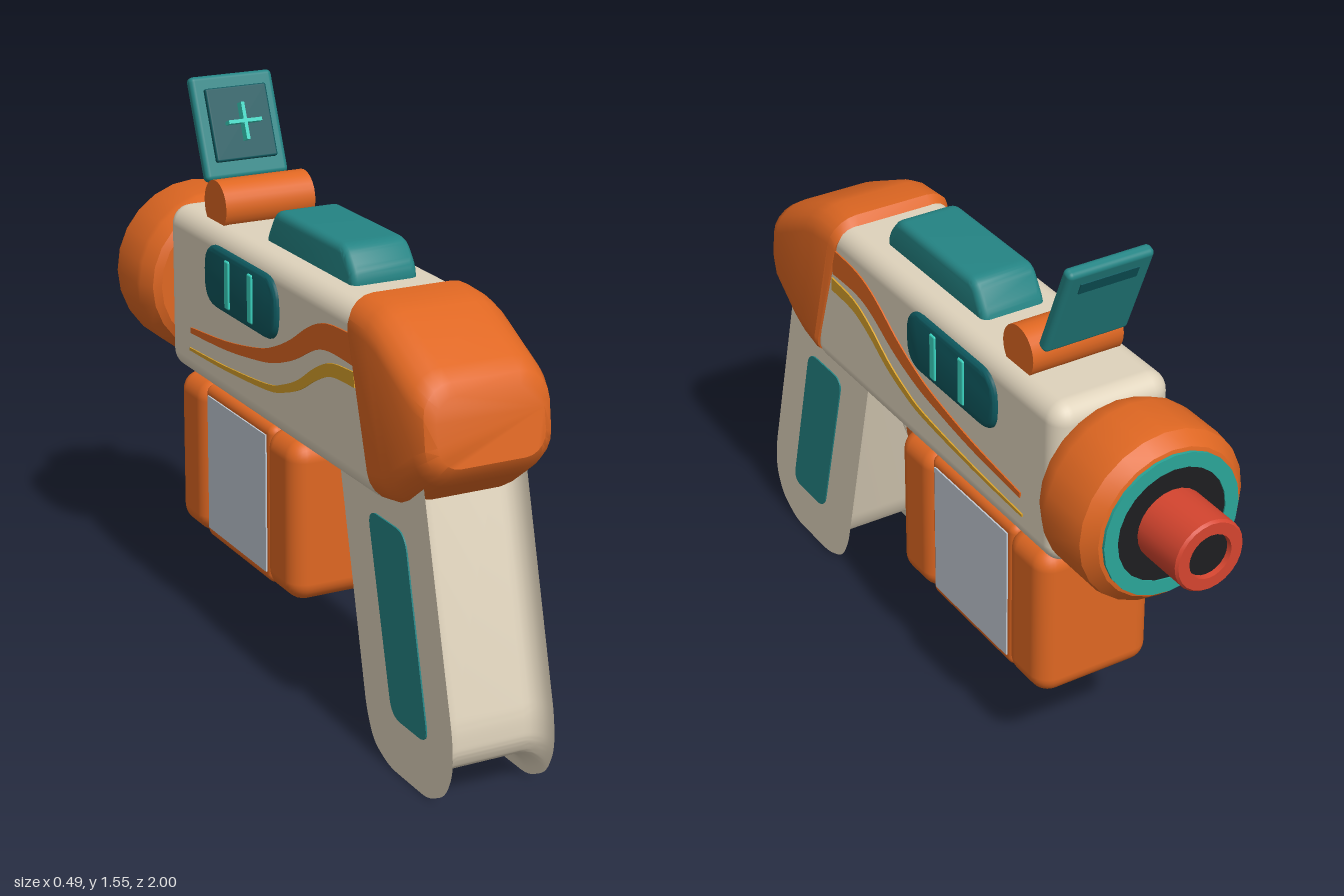
import * as THREE from 'three';
import { toCreasedNormals } from 'three/addons/utils/BufferGeometryUtils.js';
import { RoundedBoxGeometry } from 'three/addons/geometries/RoundedBoxGeometry.js';

const mat = (name, color) => {
  const m = new THREE.MeshStandardMaterial({ color });
  m.name = name;
  return m;
};

// closed shape from [z, y] points with corners rounded by r
function sideShape(pts, r = 0) {
  const p = pts.map(([z, y]) => new THREE.Vector2(-z, y));
  const s = new THREE.Shape();
  p.forEach((c, i) => {
    const a = p[(i + p.length - 1) % p.length], b = p[(i + 1) % p.length];
    const toward = (q) => c.clone().add(q.clone().sub(c).setLength(Math.min(r, q.distanceTo(c) * 0.49)));
    const s0 = toward(a), s1 = toward(b);
    if (i === 0) s.moveTo(s0.x, s0.y); else s.lineTo(s0.x, s0.y);
    if (r > 0) s.quadraticCurveTo(c.x, c.y, s1.x, s1.y);
  });
  s.closePath();
  return s;
}

// side profile extruded across x, total width w, bevel included
function across(shape, w, thick = 0, size = thick) {
  const g = new THREE.ExtrudeGeometry(shape, {
    depth: w - 2 * thick, curveSegments: 6, bevelEnabled: thick > 0,
    bevelThickness: thick, bevelSize: size, bevelOffset: size > 0 ? -size : 0, bevelSegments: 5,
  });
  g.translate(0, 0, -(w - 2 * thick) / 2);
  g.rotateY(Math.PI / 2);
  return toCreasedNormals(g, 0.6);
}

// tapering ribbon following [z, y, halfWidth] points
function ribbon(pts) {
  const curve = new THREE.SplineCurve(pts.map((p) => new THREE.Vector2(p[0], p[1])));
  const top = [], bottom = [], n = 28;
  for (let i = 0; i <= n; i++) {
    const t = i / n, p = curve.getPoint(t), d = curve.getTangent(t);
    const h = THREE.MathUtils.lerp(pts[0][2], pts[pts.length - 1][2], t);
    top.push([p.x - d.y * h, p.y + d.x * h]);
    bottom.unshift([p.x + d.y * h, p.y - d.x * h]);
  }
  return sideShape([...top, ...bottom]);
}

// loft of rounded-rectangle rings; each ring: [zBottom, yBottom, zTop, yTop, halfWidth, radius]
function loft(rings) {
  const pos = [], idx = [], k = 5, n = 4 * (k + 1);
  for (const [zb, yb, zt, yt, w, r] of rings) {
    const h = Math.hypot(zt - zb, yt - yb) / 2;
    for (let q = 0; q < 4; q++) for (let i = 0; i <= k; i++) {
      const a = (q + i / k) * Math.PI / 2;
      const cx = q === 0 || q === 3 ? w - r : r - w, cy = q < 2 ? h - r : r - h;
      const t = (cy + r * Math.sin(a) + h) / (2 * h);
      pos.push(cx + r * Math.cos(a), yb + (yt - yb) * t, zb + (zt - zb) * t);
    }
  }
  for (let j = 0; j < rings.length - 1; j++) for (let i = 0; i < n; i++) {
    const a = j * n + i, b = j * n + (i + 1) % n;
    idx.push(a, b, b + n, a, b + n, a + n);
  }
  const e = (rings.length - 1) * n;
  for (let i = 1; i < n - 1; i++) idx.push(0, i + 1, i, e, e + i, e + i + 1);
  const g = new THREE.BufferGeometry();
  g.setAttribute('position', new THREE.Float32BufferAttribute(pos, 3));
  g.setIndex(idx);
  return toCreasedNormals(g, 0.6);
}

export function createModel() {
  const root = new THREE.Group();
  root.name = 'toyBlaster';
  const cream = mat('cream', 0xdfd3bc), orange = mat('orange', 0xdf6722), teal = mat('teal', 0x248484);
  const darkTeal = mat('darkTeal', 0x0e585e), aqua = mat('aqua', 0x3ad6c2), ringTeal = mat('ringTeal', 0x2aa598);
  const red = mat('red', 0xd5452f), black = mat('black', 0x1e1e20), grey = mat('grey', 0xc2cad4);
  const yellow = mat('yellow', 0xd9a22b);
  const add = (name, geo, m, x = 0, y = 0, z = 0, parent = root) => {
    const mesh = new THREE.Mesh(geo, m);
    mesh.name = name;
    mesh.position.set(x, y, z);
    parent.add(mesh);
    return mesh;
  };
  const box = (w, h, d, r) => new RoundedBoxGeometry(w, h, d, 4, r);

  // body and rear cap
  add('body', box(0.35, 0.475, 1.26, 0.055), cream, 0, 0.95, 0.04);
  add('rearCap', loft([
    [0.65, 0.715, 0.49, 1.185, 0.182, 0.07], [0.655, 0.715, 0.51, 1.212, 0.19, 0.08],
    [0.73, 0.725, 0.6, 1.212, 0.19, 0.09], [0.77, 0.745, 0.65, 1.197, 0.19, 0.09],
    [0.87, 0.82, 0.83, 1.112, 0.188, 0.09], [0.905, 0.85, 0.872, 1.085, 0.175, 0.08],
    [0.92, 0.88, 0.89, 1.055, 0.15, 0.06],
  ]), orange);

  // grip with full side plates and a coved, narrower core
  const grip = [[0.82, 0.88], [0.37, 0.88], [0.41, 0.71], [0.585, 0], [0.975, 0], [1.02, 0.1]];
  grip.splice(3, 3, [0.555, 0.11], [0.595, 0.035], [0.68, 0], [0.88, 0], [0.965, 0.045], [1, 0.12], [0.995, 0.21]);
  add('grip', across(sideShape(grip, 0.035), 0.29, 0.05, -0.062), cream);

  // trigger and guard
  add('trigger', across(sideShape([[0.42, 0.74], [0.29, 0.74], [0.31, 0.53], [0.375, 0.53]], 0.03), 0.09, 0.015), orange);
  const guard = new THREE.CatmullRomCurve3([[0.47, 0.62], [0.43, 0.55], [0.37, 0.51], [0.31, 0.495],
    [0.25, 0.51], [0.19, 0.55], [0.16, 0.6]].map(([z, y]) => new THREE.Vector3(0, y, z)));
  add('triggerGuard', new THREE.TubeGeometry(guard, 24, 0.022, 10), cream);

  // magazine
  add('magazineRear', box(0.35, 0.455, 0.185, 0.055), orange, 0, 0.488, 0.107);
  add('magazineFront', box(0.35, 0.455, 0.185, 0.055), orange, 0, 0.488, -0.443);
  add('magazineCore', box(0.325, 0.455, 0.42, 0.025), orange, 0, 0.488, -0.168);

  // details repeated on both sides
  const pill = sideShape([[0.12, 0.972], [-0.32, 0.972], [-0.32, 1.147], [0.12, 1.147]], 0.075);
  const panel = sideShape([[0.75, 0.665], [0.56, 0.665], [0.695, 0.15], [0.88, 0.15]], 0.045);
  const orangeLine = ribbon([[0.53, 1.078, 0.04], [0.4, 1.073], [0.31, 1.045], [0.2, 0.983], [0.1, 0.94],
    [0, 0.912], [-0.2, 0.878], [-0.43, 0.857, 0.008]]);
  const yellowLine = ribbon([[0.54, 1.003, 0.02], [0.42, 0.993], [0.33, 0.955], [0.24, 0.9], [0.15, 0.862],
    [0.05, 0.836], [-0.2, 0.812], [-0.44, 0.8, 0.004]]);
  for (const s of [1, -1]) {
    const side = s > 0 ? 'left' : 'right';
    add(side + 'GripPanel', across(panel, 0.008), teal, s * 0.145);
    add(side + 'MagazinePanel', new THREE.BoxGeometry(0.008, 0.395, 0.365), grey, s * 0.163, 0.49, -0.168);
    add(side + 'OrangeStripe', across(orangeLine, 0.008), orange, s * 0.175);
    add(side + 'YellowStripe', across(yellowLine, 0.008), yellow, s * 0.175);
    add(side + 'Window', across(pill, 0.04, 0.015), darkTeal, s * 0.169);
    for (const z of [-0.025, -0.165])
      add(side + 'WindowBar', box(0.012, 0.135, 0.028, 0.005), aqua, s * 0.188, 1.06, z);
  }

  // top rail
  add('topRail', across(sideShape([[0.375, 1.16], [0.375, 1.215], [0.32, 1.281], [-0.07, 1.281], [-0.125, 1.195],
    [-0.125, 1.16]], 0.03), 0.19, 0.022), teal);

  // sight hinge and tilted sight
  const hinge = new THREE.CylinderGeometry(0.07, 0.07, 0.27, 28);
  hinge.rotateZ(Math.PI / 2);
  add('sightHinge', hinge, orange, 0, 1.23, -0.35);
  add('hingeBase', new THREE.BoxGeometry(0.27, 0.06, 0.105), orange, 0, 1.195, -0.35);
  const sight = new THREE.Group();
  sight.name = 'sight';
  sight.position.set(0, 1.408, -0.49);
  sight.rotation.x = -0.39;
  root.add(sight);
  add('sightFrame', box(0.25, 0.292, 0.036, 0.014), teal, 0, 0, 0, sight);
  add('sightScreen', box(0.185, 0.205, 0.018, 0.006), darkTeal, 0, 0.004, 0.025, sight);
  add('sightBackStrip', new THREE.BoxGeometry(0.17, 0.035, 0.006), darkTeal, 0, 0.09, -0.018, sight);
  add('crossUpright', new THREE.BoxGeometry(0.01, 0.105, 0.03), aqua, 0, 0.004, 0.045, sight);
  add('crossBar', new THREE.BoxGeometry(0.1, 0.01, 0.03), aqua, 0, 0.004, 0.045, sight);

  // front collar and barrel, turned about the z axis; points are [radius, z]
  const turned = (name, pts, m, seg = 24) => {
    const g = new THREE.LatheGeometry(pts.map(([r, z]) => new THREE.Vector2(r, -z)), seg);
    g.rotateX(-Math.PI / 2);
    add(name, toCreasedNormals(g, 0.5), m, 0, 0.945, 0);
  };
  turned('collar', [[0, -0.575], [0.2, -0.575], [0.222, -0.588], [0.243, -0.63], [0.245, -0.65], [0.245, -0.775],
    [0.241, -0.795], [0.21, -0.83], [0.195, -0.834], [0, -0.834]], orange);
  turned('collarRing', [[0.2, -0.83], [0.2, -0.841], [0.16, -0.841], [0.16, -0.83]], ringTeal);
  turned('collarRecess', [[0.165, -0.83], [0.165, -0.837], [0, -0.837]], black);
  turned('barrel', [[0.1, -0.83], [0.1, -0.993], [0.094, -1], [0.062, -1], [0.058, -0.97]], red);
  turned('muzzle', [[0.062, -0.96], [0.062, -0.985], [0, -0.985]], black);
  return root;
}
